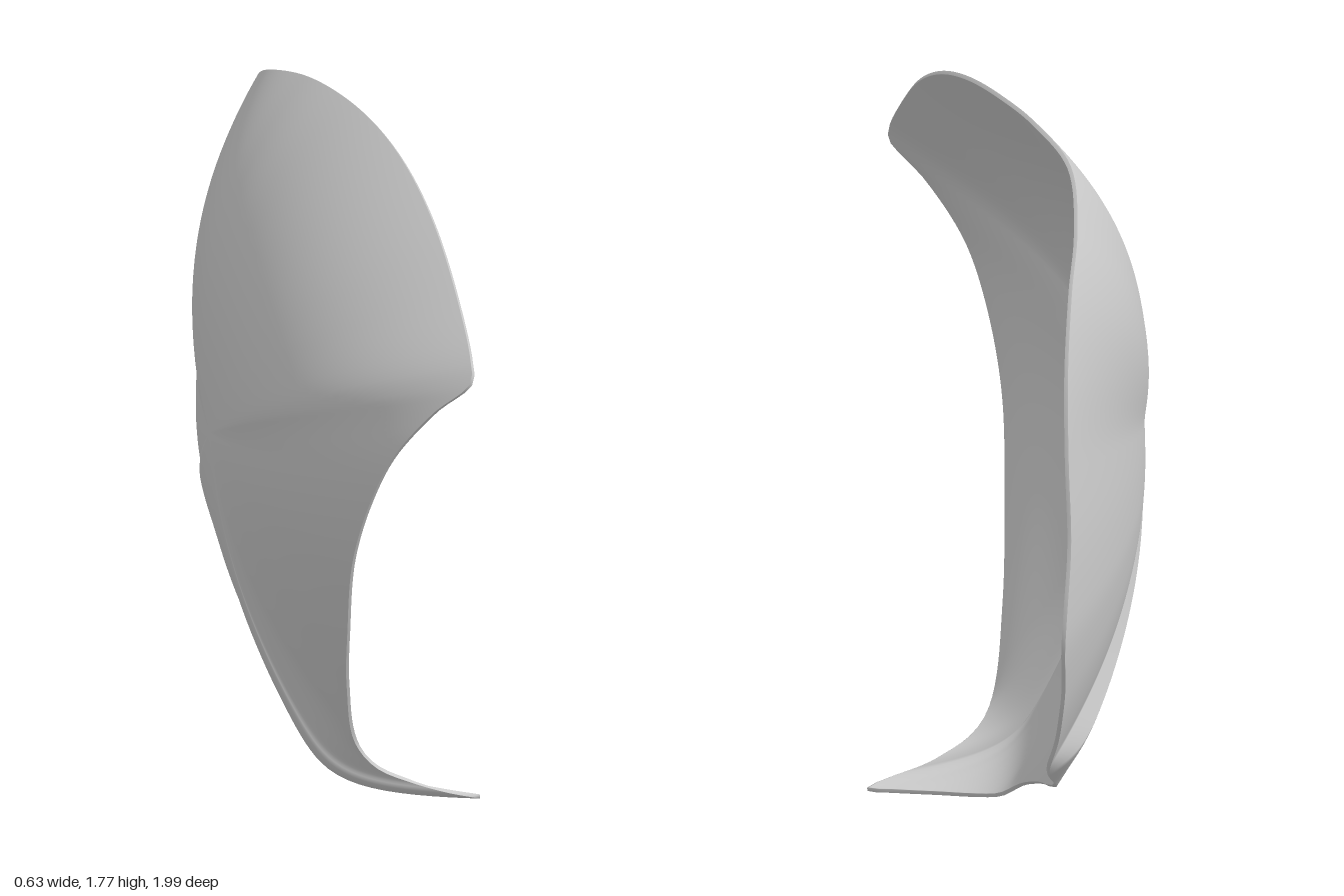
import * as THREE from 'three';

// Outline of the shell: [x, y, z], from the spur tip up the front edge,
// over the crown, down the back and along the lower edge.
const RIM = [
  [0.31, 0.005, 0.2], [0.23, 0.035, 0.222], [0.14, 0.07, 0.225], [0.05, 0.12, 0.237], [-0.01, 0.2, 0.265],
  [-0.06, 0.4, 0.39], [-0.09, 0.6, 0.53], [-0.11, 0.85, 0.68], [-0.09, 1.05, 0.795],
  [-0.05, 1.19, 0.87], [0.03, 1.32, 0.94], [0.11, 1.41, 0.99], [0.117, 1.45, 0.96],
  [0.12, 1.55, 0.8], [0.11, 1.66, 0.6], [0.09, 1.73, 0.4], [0.06, 1.765, 0.2],
  [0.02, 1.77, 0], [-0.03, 1.75, -0.2], [-0.08, 1.69, -0.4], [-0.06, 1.58, -0.6],
  [-0.02, 1.47, -0.75], [0.01, 1.3, -0.865], [0.02, 1.1, -0.93], [0.02, 0.9, -0.965],
  [0.035, 0.74, -0.995], [0.04, 0.65, -0.995], [0.03, 0.53, -0.94], [0.03, 0.46, -0.905],
  [0.03, 0.38, -0.845], [0.04, 0.29, -0.775], [-0.01, 0.21, -0.6],
  [-0.03, 0.155, -0.4], [-0.04, 0.11, -0.2], [-0.02, 0.075, -0.08], [0.02, 0.03, 0],
  [0.07, 0.015, 0.06], [0.15, 0.008, 0.12], [0.25, 0.005, 0.17],
];
const CENTRE = new THREE.Vector3(-0.32, 0.95, 0.05);
const RINGS = 44, SEGS = 220;

// Point of the outer face: a bowl that rises to the rim, with a late curl at the spur
function bowlPoint(rim, r) {
  const curl = rim.y < 0.3 ? Math.max(0, rim.x + 0.02) : 0;
  const power = 1.9 + 0.8 * THREE.MathUtils.smoothstep(rim.y, 1.1, 1.6);
  const rise = rim.x - CENTRE.x - curl;
  const p = CENTRE.clone().lerp(rim, r);
  p.x = CENTRE.x + rise * r ** power + curl * r ** 24;
  return p;
}

// Index list of one face; vertex 0 is the centre, then ring after ring
const at = (ring, j) => 1 + (ring - 1) * SEGS + (j % SEGS);
function faceIndex() {
  const idx = [];
  for (let j = 0; j < SEGS; j++) {
    idx.push(0, at(1, j), at(1, j + 1));
    for (let i = 1; i < RINGS; i++) {
      const a = at(i, j), b = at(i + 1, j), c = at(i + 1, j + 1), d = at(i, j + 1);
      idx.push(a, b, c, a, c, d);
    }
  }
  return idx;
}

function shellGeometry() {
  const curve = new THREE.CatmullRomCurve3(RIM.map(p => new THREE.Vector3(...p)), true, 'centripetal');
  const rim = curve.getSpacedPoints(SEGS).slice(0, SEGS);

  // Outer, convex face
  const points = [CENTRE.clone()], radii = [0];
  for (let i = 1; i <= RINGS; i++) {
    const r = Math.sin((i / RINGS) * Math.PI / 2);
    for (const p of rim) {
      points.push(bowlPoint(p, r));
      radii.push(r);
    }
  }
  const index = faceIndex();
  const outer = new THREE.BufferGeometry().setFromPoints(points);
  outer.setIndex(index);
  outer.computeVertexNormals();

  // Inner, hollow face: offset along the normals, thinner at the rim
  const normal = new THREE.Vector3();
  const count = points.length;
  const inner = points.map((p, k) => {
    normal.fromBufferAttribute(outer.attributes.normal, k);
    return p.clone().addScaledVector(normal, -(0.01 + 0.02 * (1 - radii[k] ** 10)));
  });
  const all = [...index];
  for (let k = 0; k < index.length; k += 3) {
    all.push(index[k] + count, index[k + 2] + count, index[k + 1] + count);
  }

  // Rim strip joining both faces
  for (let j = 0; j < SEGS; j++) {
    const a = at(RINGS, j), b = at(RINGS, j + 1);
    all.push(b, a, a + count, b, a + count, b + count);
  }
  const geometry = new THREE.BufferGeometry().setFromPoints([...points, ...inner]);
  geometry.setIndex(all);
  geometry.computeVertexNormals();
  return geometry;
}

export function createModel() {
  const group = new THREE.Group();
  group.name = 'curvedPlate';
  const material = new THREE.MeshStandardMaterial({ color: 0xcccccc, side: THREE.DoubleSide });
  const shell = new THREE.Mesh(shellGeometry(), material);
  shell.name = 'shell';
  group.add(shell);
  return group;
}
